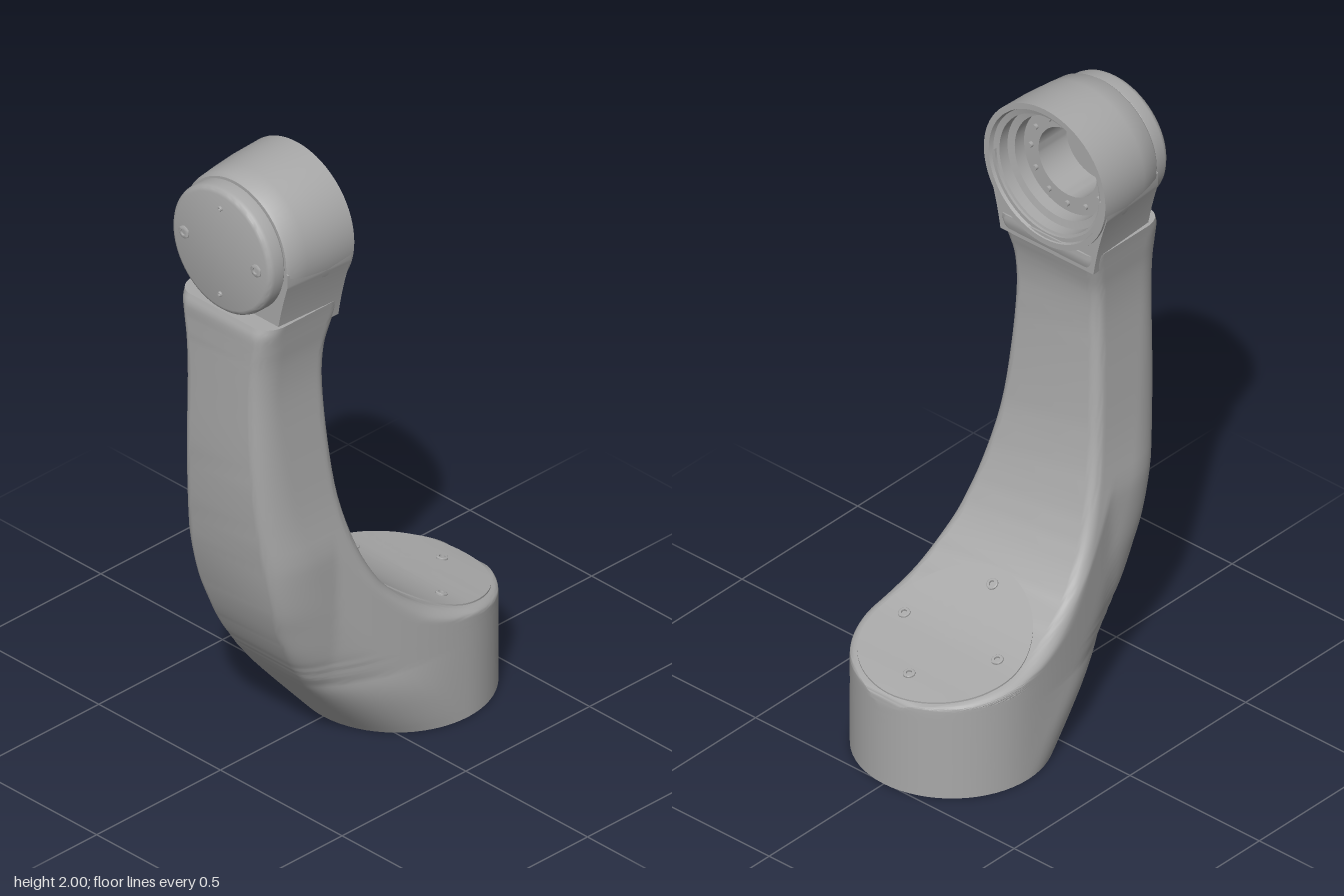
import * as THREE from 'three';
import { toCreasedNormals } from 'three/addons/utils/BufferGeometryUtils.js';

const { clamp, lerp, mapLinear } = THREE.MathUtils;
const BASE_Z = -0.21, BASE_R = 0.295, HEAD_Y = 1.765;

// Arm sections: height, back z, front z, half width, front corner depth, flat front half width
const ROWS = [
  [0, -0.505, 0.085, 0.295, 0.295, 0], [0.1, -0.505, 0.165, 0.295, 0.3, 0.06],
  [0.2, -0.505, 0.245, 0.295, 0.27, 0.1], [0.25, -0.505, 0.282, 0.295, 0.26, 0.11],
  [0.28, -0.503, 0.302, 0.295, 0.25, 0.12], [0.295, -0.495, 0.312, 0.295, 0.25, 0.12],
  [0.305, -0.48, 0.318, 0.295, 0.25, 0.12], [0.318, -0.42, 0.327, 0.295, 0.24, 0.12],
  [0.335, -0.33, 0.337, 0.295, 0.24, 0.12], [0.362, -0.21, 0.353, 0.292, 0.23, 0.125],
  [0.41, -0.1, 0.377, 0.28, 0.22, 0.13], [0.48, 0, 0.408, 0.265, 0.2, 0.13],
  [0.57, 0.08, 0.437, 0.243, 0.17, 0.14], [0.7, 0.145, 0.466, 0.22, 0.15, 0.14],
  [0.88, 0.195, 0.49, 0.193, 0.12, 0.13], [1.08, 0.22, 0.503, 0.176, 0.1, 0.12],
  [1.28, 0.232, 0.505, 0.165, 0.08, 0.115], [1.4, 0.228, 0.505, 0.168, 0.08, 0.12],
  [1.48, 0.21, 0.505, 0.178, 0.08, 0.13], [1.53, 0.195, 0.505, 0.185, 0.07, 0.13],
  [1.56, 0.195, 0.495, 0.19, 0.07, 0.13],
];

// Smoothly interpolated sections
function makeSlices() {
  const curve = (o) => new THREE.CatmullRomCurve3(
    ROWS.map((r) => new THREE.Vector3(r[o], r[o + 1], r[o + 2])), false, 'catmullrom', 0.5);
  const a = curve(0), b = curve(3), n = (ROWS.length - 1) * 4, out = [];
  for (let i = 0; i <= n; i++) {
    const p = a.getPoint(i / n), q = b.getPoint(i / n);
    out.push({ y: p.x, back: p.y, front: p.z, half: q.x, depth: q.y, flat: Math.max(0, q.z) });
  }
  return out;
}

// Plan outline of the link: round at the rear, tapering toward the front
function planHalf(z, y) {
  if (z < BASE_Z) return Math.sqrt(Math.max(0, BASE_R ** 2 - (z - BASE_Z) ** 2));
  const t = clamp((z - BASE_Z) / 0.45, 0, 1);
  const taper = BASE_R - 0.08 * t * t * (1.6 - 0.6 * t);
  return lerp(BASE_R, taper, clamp(y / 0.25, 0, 1));
}

function halfWidth(s, z) {
  let w = Math.min(planHalf(z, s.y), s.half);
  const u = clamp((z - s.front + s.depth) / s.depth, 0, 1);
  const f = Math.min(s.flat, w);
  w = f + (w - f) * Math.sqrt(1 - u * u);
  const edge = 0.035 * clamp((s.back + 0.505) / 0.1, 0, 1);
  const reach = clamp(mapLinear(s.back, -0.1, 0.1, 0.1, 0.035), 0.035, 0.1);
  const v = clamp(1 - (z - s.back) / reach, 0, 1);
  return Math.max(0, w - edge * (1 - Math.sqrt(1 - v * v)));
}

// Curved link lofted through horizontal sections
function armGeometry(slices) {
  const m = 32, ring = 2 * (m + 1), pos = [], idx = [];
  for (const s of slices) {
    const side = [];
    for (let i = 0; i <= m; i++) {
      const z = lerp(s.back, s.front, (1 - Math.cos(Math.PI * i / m)) / 2);
      side.push([halfWidth(s, z), z]);
    }
    side.forEach(([x, z]) => pos.push(x, s.y, z));
    side.reverse().forEach(([x, z]) => pos.push(-x, s.y, z));
  }
  const last = slices[slices.length - 1];
  for (let i = 0; i < ring; i++) pos.push(0, last.y, (last.back + last.front) / 2);
  for (let k = 0; k < slices.length; k++) {
    for (let i = 0; i < ring; i++) {
      const a = k * ring + i, b = k * ring + (i + 1) % ring;
      idx.push(a, a + ring, b, b, a + ring, b + ring);
    }
  }
  const g = new THREE.BufferGeometry();
  g.setAttribute('position', new THREE.Float32BufferAttribute(pos, 3));
  g.setIndex(idx);
  return toCreasedNormals(g, 0.6);
}

const lathe = (pts, seg = 72) => toCreasedNormals(
  new THREE.LatheGeometry(pts.map(([r, y]) => new THREE.Vector2(r, y)), seg), 0.6);

// Stepped joint bore, from the centre of its floor out to the rim
const socketProfile = (R) => [
  [0, 0.22], [0.48, 0.22], [0.48, 0.1], [0.72, 0.1], [0.72, 0.06], [0.82, 0.055],
  [0.82, 0.02], [0.9, 0.015], [0.92, 0], [1, 0],
].map(([r, y]) => [r * R, y]);

// Screw head with a recessed drive
const screwGeometry = (r) => lathe(
  [[r, -0.01], [r, 0.004], [r * 0.85, 0.006], [r * 0.5, 0.006], [r * 0.5, -0.002], [0, -0.002]], 20);

export function createModel() {
  const group = new THREE.Group();
  const metal = new THREE.MeshStandardMaterial({ color: 0xa8a8a8 });
  metal.name = 'grey metal';
  const add = (name, geometry, parent = group) => {
    const mesh = new THREE.Mesh(geometry, metal);
    mesh.name = name;
    parent.add(mesh);
    return mesh;
  };

  const slices = makeSlices();
  add('arm', armGeometry(slices));

  // Height of the sloping upper face above the base
  const topY = (z) => {
    const i = Math.max(1, slices.findIndex((s) => s.back >= z && s.y > 0.25));
    const a = slices[i - 1], b = slices[i];
    return lerp(a.y, b.y, clamp((z - a.back) / (b.back - a.back || 1), 0, 1));
  };

  // Ring of bolts inside a bore
  const boltRing = (parent, R) => {
    for (let i = 0; i < 12; i++) {
      const t = i * Math.PI / 6;
      const bolt = add('boreBolt', new THREE.CylinderGeometry(0.009, 0.009, 0.014, 10), parent);
      bolt.position.set(Math.cos(t) * R * 0.6, 0.097, Math.sin(t) * R * 0.6);
    }
  };

  // Base joint, open below
  const base = new THREE.Group();
  base.name = 'baseJoint';
  base.position.z = BASE_Z;
  group.add(base);
  add('baseSocket', lathe(socketProfile(BASE_R)), base);
  boltRing(base, BASE_R);

  // Base cover following the curved upper face, with a short skirt
  const cover = new THREE.RingGeometry(0.001, 1, 72, 10);
  cover.rotateX(-Math.PI / 2);
  const cp = cover.attributes.position;
  for (let i = 0; i < cp.count; i++) {
    const r = Math.hypot(cp.getX(i), cp.getZ(i)), k = Math.min(1, r / 0.9) / r;
    const x = cp.getX(i) * k * 0.26, z = -0.24 + cp.getZ(i) * k * 0.245;
    cp.setXYZ(i, x, topY(z) + (r > 0.95 ? -0.012 : 0.005), z);
  }
  add('baseCover', toCreasedNormals(cover, 0.6));
  for (const [x, z] of [[0, -0.395], [0.18, -0.215], [-0.18, -0.215], [0, -0.035]]) {
    const screw = add('baseScrew', screwGeometry(0.018));
    screw.position.set(x, topY(z) + 0.006, z);
    screw.rotation.x = -Math.atan((topY(z + 0.02) - topY(z - 0.02)) / 0.04);
  }

  // Head joint, open at the back
  const head = new THREE.Group();
  head.name = 'headJoint';
  head.position.set(0, HEAD_Y, 0.19);
  head.rotation.x = Math.PI / 2;
  group.add(head);
  add('headHousing', lathe([...socketProfile(0.235),
    [0.232, 0.1], [0.225, 0.18], [0.218, 0.24], [0.21, 0.25], [0, 0.25]]), head);
  boltRing(head, 0.235);
  add('headCover', lathe([[0.198, 0.245], [0.205, 0.255], [0.205, 0.29], [0.202, 0.3],
    [0.196, 0.307], [0.187, 0.31], [0, 0.31]]), head);
  for (const [x, z, r] of [[0.148, 0, 0.02], [-0.148, 0, 0.02], [0, 0.145, 0.008], [0, -0.145, 0.008]]) {
    add('headScrew', screwGeometry(r), head).position.set(x, 0.31, z);
  }

  // Neck blending the arm into the head
  const neck = new THREE.Shape();
  neck.moveTo(-0.178, 1.5);
  neck.lineTo(0.178, 1.5);
  neck.quadraticCurveTo(0.193, 1.6, 0.229, 1.71);
  neck.lineTo(0.229, 1.75);
  neck.lineTo(0.2, HEAD_Y);
  neck.absarc(0, HEAD_Y, 0.2, 0, Math.PI, true);
  neck.lineTo(-0.229, 1.75);
  neck.lineTo(-0.229, 1.71);
  neck.quadraticCurveTo(-0.193, 1.6, -0.178, 1.5);
  const ng = new THREE.ExtrudeGeometry(neck, { depth: 0.24, steps: 4, curveSegments: 24, bevelEnabled: false });
  ng.translate(0, 0, 0.2);
  const np = ng.attributes.position;
  for (let i = 0; i < np.count; i++) np.setX(i, np.getX(i) * mapLinear(np.getZ(i), 0.2, 0.44, 1.01, 0.94));
  add('neck', toCreasedNormals(ng, 0.6));

  return group;
}
